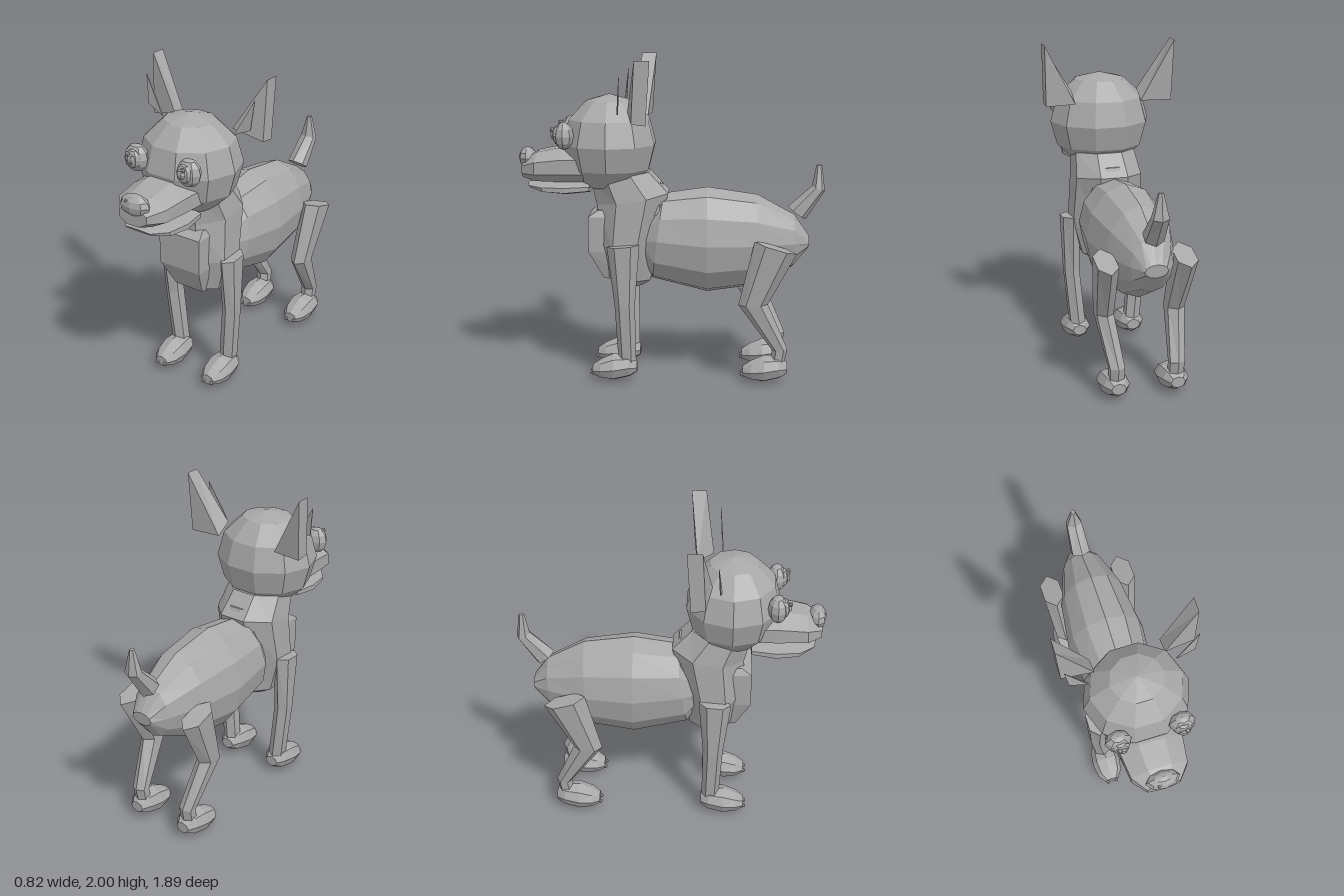
import * as THREE from 'three';

const grey = new THREE.MeshStandardMaterial({ color: 0xa8a8a8, flatShading: true, side: THREE.DoubleSide });
grey.name = 'grey';

// Skin closed rings of points into a capped, faceted solid with outward faces
function loft(rings) {
  const tris = [];
  const n = rings[0].length;
  for (let i = 0; i + 1 < rings.length; i++) {
    for (let j = 0; j < n; j++) {
      const k = (j + 1) % n, a = rings[i], b = rings[i + 1];
      tris.push([a[j], a[k], b[k]], [a[j], b[k], b[j]]);
    }
  }
  const first = rings[0], last = rings[rings.length - 1];
  for (let j = 1; j + 1 < n; j++) {
    tris.push([first[0], first[j + 1], first[j]], [last[0], last[j], last[j + 1]]);
  }
  let volume = 0;
  const cross = new THREE.Vector3();
  for (const [a, b, c] of tris) volume += a.dot(cross.crossVectors(b, c));
  const points = [];
  for (const [a, b, c] of tris) points.push(...(volume > 0 ? [a, b, c] : [a, c, b]));
  const g = new THREE.BufferGeometry().setFromPoints(points);
  g.computeVertexNormals();
  return g;
}

// Ring spanned by two opposite points in the side plane and a half width;
// flat rings have a face instead of a corner at each of those points
function ring(n, x, [z1, y1, z2, y2, w], flat) {
  const scale = flat ? 1 / Math.cos(Math.PI / n) : 1;
  const points = [];
  for (let i = 0; i < n; i++) {
    const t = ((i + (flat ? 0.5 : 0)) / n) * Math.PI * 2;
    const c = Math.cos(t) * scale / 2, s = Math.sin(t) * scale;
    points.push(new THREE.Vector3(x + s * w, (y1 + y2) / 2 + c * (y1 - y2), (z1 + z2) / 2 + c * (z1 - z2)));
  }
  return points;
}

const tube = (n, x, sections, flat = false) => loft(sections.map((s) => ring(n, x, s, flat)));

function ball(x, y, z, rx, ry, rz, segs = 8, rows = 6) {
  return new THREE.SphereGeometry(1, segs, rows).scale(rx, ry, rz).translate(x, y, z);
}

export function createModel() {
  const model = new THREE.Group();
  model.name = 'dog';
  const add = (name, geometry) => {
    const mesh = new THREE.Mesh(geometry, grey);
    mesh.name = name;
    model.add(mesh);
  };

  // Trunk: sections are top z, top y, bottom z, bottom y, half width
  add('body', tube(12, 0, [
    [0.18, 1.02, 0.19, 0.74, 0.14], [0.05, 1.16, 0.12, 0.62, 0.215],
    [-0.22, 1.2, -0.22, 0.535, 0.248], [-0.53, 1.155, -0.5, 0.575, 0.21],
    [-0.76, 1.03, -0.75, 0.7, 0.13], [-0.85, 0.9, -0.845, 0.82, 0.07],
  ]));
  add('neck', tube(8, 0, [
    [0.5, 1.27, 0.14, 1.3, 0.19], [0.46, 1.1, 0.02, 1.17, 0.21],
    [0.46, 0.85, 0.1, 0.85, 0.22], [0.42, 0.65, 0.13, 0.62, 0.16], [0.3, 0.59, 0.18, 0.58, 0.08],
  ], true));
  add('chest', tube(4, 0, [
    [0.45, 1.07, 0.3, 1.07, 0.13], [0.51, 1.03, 0.3, 1.03, 0.15],
    [0.51, 0.81, 0.3, 0.81, 0.145], [0.42, 0.64, 0.25, 0.61, 0.1],
  ], true));
  add('scruff', tube(8, 0, [
    [0.14, 1.23, 0.06, 1.225, 0.08], [0.16, 1.2, 0.035, 1.16, 0.11], [0.2, 1.03, 0.02, 1.05, 0.14],
  ], true));
  add('tail', tube(6, 0, [
    [-0.72, 1.08, -0.83, 1.0, 0.065], [-0.865, 1.21, -0.945, 1.18, 0.055], [-0.89, 1.34, -0.925, 1.34, 0.015],
  ]));

  // Head and face
  add('head', ball(0, 1.47, 0.385, 0.32, 0.305, 0.295, 10, 6));
  add('muzzle', tube(8, 0, [
    [0.5, 1.45, 0.5, 1.24, 0.2], [0.68, 1.45, 0.65, 1.235, 0.19],
    [0.83, 1.42, 0.84, 1.24, 0.17], [0.92, 1.37, 0.92, 1.26, 0.1],
  ], true));
  add('jaw', tube(8, 0, [
    [0.5, 1.235, 0.5, 1.175, 0.16], [0.65, 1.235, 0.65, 1.16, 0.18],
    [0.8, 1.23, 0.78, 1.17, 0.16], [0.89, 1.225, 0.86, 1.195, 0.09],
  ], true));
  add('nose', ball(0, 1.38, 0.895, 0.105, 0.065, 0.055));
  add('noseTip', ball(-0.03, 1.41, 0.93, 0.02, 0.01, 0.012, 6, 4));

  for (const side of [1, -1]) {
    const tag = side > 0 ? 'left' : 'right';
    const x = 0.183 * side;
    const corners = (list) => list.map(([px, py, pz]) => new THREE.Vector3(px * side, py, pz));

    // Bulging eyes
    add(tag + 'Eye', ball(0.19 * side, 1.535, 0.645, 0.08, 0.085, 0.06));
    add(tag + 'Iris', ball(0.185 * side, 1.54, 0.685, 0.054, 0.058, 0.03));
    add(tag + 'Pupil', ball(0.18 * side, 1.545, 0.71, 0.03, 0.032, 0.018, 6, 4));
    add(tag + 'EyeGlint', ball(0.2 * side, 1.575, 0.715, 0.015, 0.015, 0.015, 6, 4));

    // Wedge ears with a thin inner leaf
    add(tag + 'Ear', loft([
      corners([[0.41, 2, 0.115], [0.4, 1.62, 0.14], [0.21, 1.62, 0.16]]),
      corners([[0.41, 2, 0.205], [0.4, 1.63, 0.225], [0.21, 1.68, 0.26]]),
    ]));
    add(tag + 'InnerEar', loft([
      corners([[0.39, 1.9, 0.293], [0.37, 1.72, 0.303], [0.26, 1.67, 0.31]]),
      corners([[0.39, 1.9, 0.297], [0.37, 1.72, 0.309], [0.26, 1.67, 0.318]]),
    ]));

    // Legs
    const leg = (spec) => loft(spec.map(([cx, ...s]) => ring(6, cx * side, s, false)));
    add(tag + 'FrontLeg', leg([
      [0.225, 0.39, 0.86, 0.19, 0.875, 0.062], [0.22, 0.345, 0.5, 0.22, 0.5, 0.055],
      [0.185, 0.325, 0.12, 0.215, 0.12, 0.055],
    ]));
    add(tag + 'HindLeg', leg([
      [0.24, -0.51, 0.905, -0.765, 0.83, 0.072], [0.22, -0.415, 0.505, -0.595, 0.51, 0.06],
      [0.185, -0.625, 0.21, -0.72, 0.22, 0.052], [0.183, -0.61, 0.1, -0.7, 0.11, 0.05],
    ]));

    // Paws and claws
    for (const [name, z] of [['Front', 0.355], ['Hind', -0.575]]) {
      add(tag + name + 'Paw', tube(8, x, [
        [z - 0.145, 0.13, z - 0.145, 0.06, 0.045], [z - 0.09, 0.175, z - 0.1, 0.03, 0.08],
        [z, 0.175, z, 0.005, 0.093], [z + 0.08, 0.14, z + 0.08, 0.02, 0.08],
        [z + 0.13, 0.105, z + 0.13, 0.04, 0.045],
      ]));
      for (const dx of [-0.028, 0.028]) {
        add(tag + name + 'Claw', ball(x + dx, 0.06, z + 0.125, 0.013, 0.015, 0.025, 6, 4));
      }
    }
  }
  return model;
}
